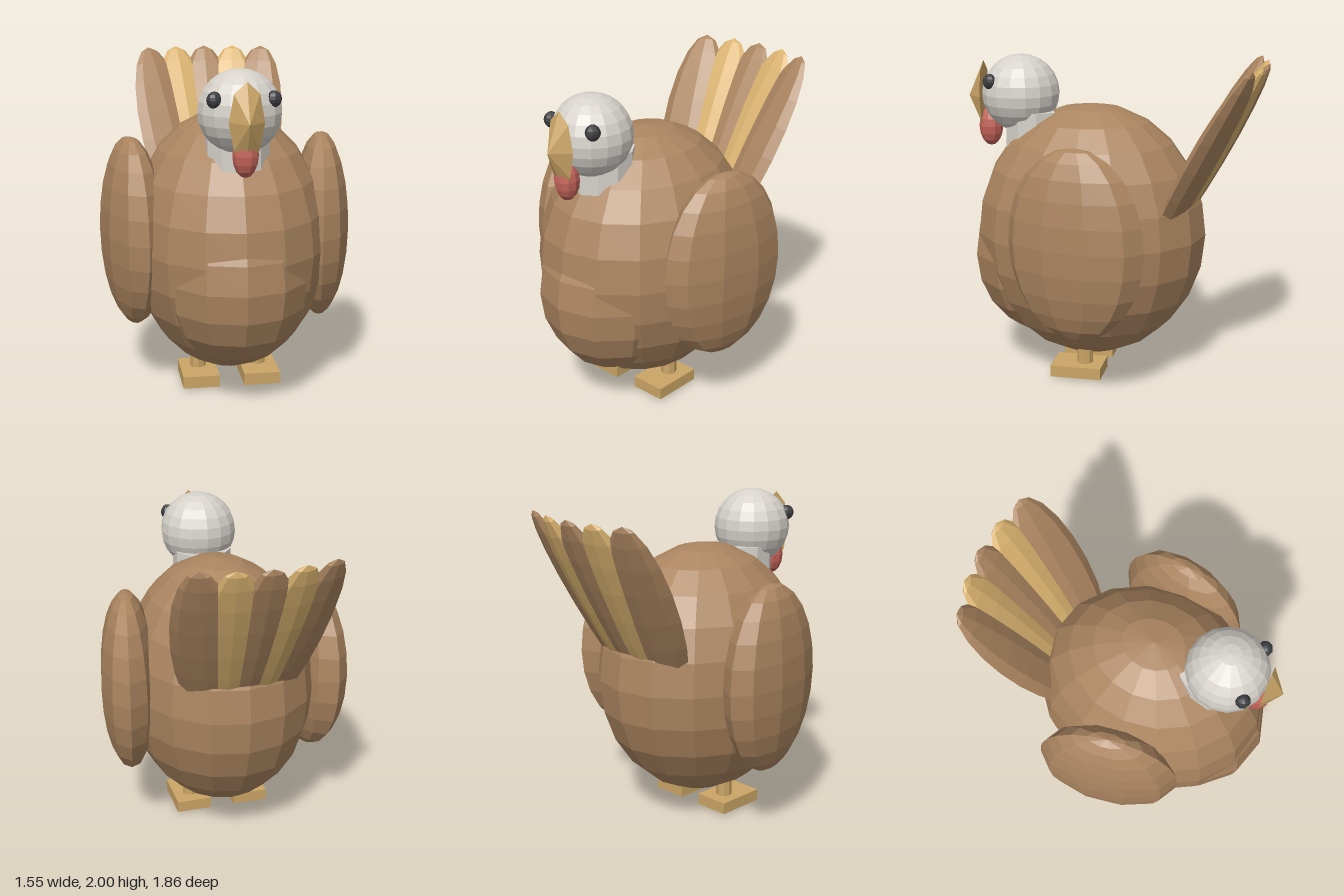
import * as THREE from 'three';

const mat = (name, color) => {
  const m = new THREE.MeshStandardMaterial({ color, flatShading: true });
  m.name = name;
  return m;
};

export function createModel() {
  const brown = mat('brown plumage', 0xab8560);
  const gold = mat('gold plumage', 0xd9b26f);
  const horn = mat('horn yellow', 0xcba566);
  const grey = mat('pale grey skin', 0xd6d2cb);
  const red = mat('wattle red', 0xc4645a);
  const black = mat('eye black', 0x3c3d40);

  const bird = new THREE.Group();
  bird.name = 'bird';

  const add = (name, geometry, material, position, parent = bird) => {
    const mesh = new THREE.Mesh(geometry, material);
    mesh.name = name;
    mesh.position.set(...position);
    parent.add(mesh);
    return mesh;
  };
  // Faceted ellipsoid; turn shifts where the vertical edges fall
  const ellipsoid = (rx, ry, rz, across, up, turn = 0) =>
    new THREE.SphereGeometry(1, across, up, turn, Math.PI * 2).scale(rx, ry, rz);

  // Body and breast
  add('body', ellipsoid(0.6, 0.8, 0.72, 16, 12), brown, [0, 0.91, 0.15]);
  add('breast', ellipsoid(0.45, 0.55, 0.48, 12, 10), brown, [0, 0.765, 0.425]);

  // Neck and head
  add('neck', new THREE.CylinderGeometry(0.187, 0.187, 0.34, 10), grey, [0, 1.49, 0.51]);
  add('head', ellipsoid(0.24, 0.24, 0.24, 16, 12), grey, [0, 1.76, 0.595]);

  // Beak: a flattened eight-sided cone pointing forward
  const beak = new THREE.ConeGeometry(1, 0.097, 8).rotateX(Math.PI / 2).scale(0.1, 0.22, 1);
  add('beak', beak, horn, [0, 1.735, 0.882]);
  add('wattle', ellipsoid(0.074, 0.125, 0.074, 10, 8), red, [0, 1.548, 0.794]);

  // Paired parts
  for (const [side, s] of [['left', 1], ['right', -1]]) {
    add(side + 'Eye', ellipsoid(0.044, 0.047, 0.044, 8, 8), black, [s * 0.165, 1.847, 0.743]);

    const wing = add(side + 'Wing', ellipsoid(0.177, 0.58, 0.43, 10, 12, Math.PI / 2), brown,
      [s * 0.585, 0.97, 0.12]);
    wing.rotation.y = -s * 0.174;

    add(side + 'Leg', new THREE.CylinderGeometry(0.05, 0.05, 0.34, 8), horn, [s * 0.19, 0.17, 0.155]);
    add(side + 'Foot', new THREE.BoxGeometry(0.226, 0.073, 0.32), horn, [s * 0.19, 0.049, 0.195]);
  }

  // Tail: five leaning feathers fanned about the body's upright axis
  const tail = new THREE.Group();
  tail.name = 'tail';
  tail.position.z = 0.15;
  bird.add(tail);
  for (let i = -2; i <= 2; i++) {
    const pivot = new THREE.Group();
    pivot.name = 'featherPivot' + (i + 3);
    pivot.rotation.y = i * 0.182;
    tail.add(pivot);
    const feather = add('tailFeather' + (i + 3), ellipsoid(0.2, 0.655, 0.064, 8, 10),
      i % 2 ? gold : brown, [0, 1.405, -0.765], pivot);
    feather.rotation.x = -0.5;
  }

  return bird;
}
